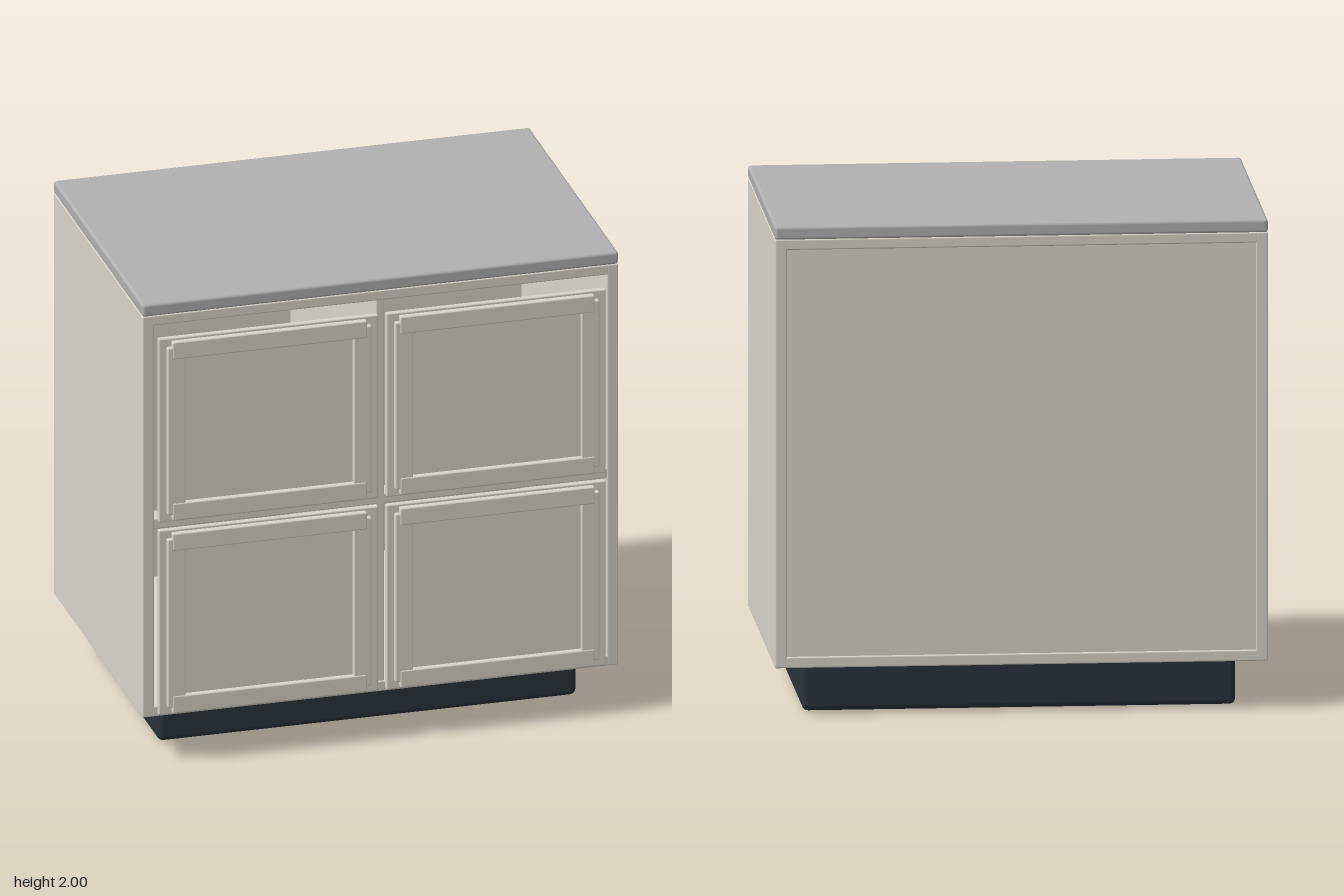
import * as THREE from 'three';
import { RoundedBoxGeometry } from 'three/addons/geometries/RoundedBoxGeometry.js';

const paint = new THREE.MeshStandardMaterial({ color: 0xd8d4ca });
const stone = new THREE.MeshStandardMaterial({ color: 0xb0b0b0 });
const dark = new THREE.MeshStandardMaterial({ color: 0x2a323a });

// Softly rounded box given by its minimum and maximum on each axis
function block(name, [x0, x1], [y0, y1], [z0, z1], material = paint, radius = 0.006) {
  const geometry = new RoundedBoxGeometry(x1 - x0, y1 - y0, z1 - z0, 3, radius);
  const mesh = new THREE.Mesh(geometry, material);
  mesh.name = name;
  mesh.position.set((x0 + x1) / 2, (y0 + y1) / 2, (z0 + z1) / 2);
  return mesh;
}

// Framed front: backing slab, two stiles and two longer-reaching rails with stepped corners
function createFront(name, x0, x1, y0, y1) {
  const front = new THREE.Group();
  front.name = name;
  const l = x0 + 0.032, r = x1 - 0.032, b = y0 + 0.011, t = y1 - 0.011;
  const stile = 0.075, rail = 0.075;
  front.add(block('frontSlab', [x0, x1], [y0, y1], [0.632, 0.657]));
  for (const x of [l, r - stile]) {
    front.add(block('stile', [x, x + stile], [b + 0.025, t - 0.025], [0.645, 0.677]));
  }
  for (const y of [b, t - rail]) {
    front.add(block('rail', [l + 0.02, r - 0.02], [y, y + rail], [0.645, 0.68]));
  }
  return front;
}

export function createModel() {
  const cabinet = new THREE.Group();
  cabinet.name = 'cabinet';

  // Recessed base and worktop
  cabinet.add(block('plinth', [-0.87, 0.87], [0, 0.2], [-0.56, 0.44], dark, 0.025));
  cabinet.add(block('worktop', [-0.99, 0.99], [1.945, 2], [-0.68, 0.63], stone, 0.012));

  // Hollow carcass
  for (const s of [-1, 1]) {
    const xs = s < 0 ? [-0.99, -0.942] : [0.942, 0.99];
    cabinet.add(block(s < 0 ? 'rightSide' : 'leftSide', xs, [0.2, 1.948], [-0.68, 0.63]));
  }
  cabinet.add(block('floor', [-0.95, 0.95], [0.2, 0.245], [-0.68, 0.63]));
  cabinet.add(block('ceiling', [-0.95, 0.95], [1.905, 1.948], [-0.68, 0.63]));
  cabinet.add(block('backPanel', [-0.95, 0.95], [0.235, 1.915], [-0.67, -0.63]));
  cabinet.add(block('divider', [-0.018, 0.018], [0.24, 1.91], [-0.64, 0.625]));
  cabinet.add(block('middleRail', [-0.95, 0.95], [1.015, 1.06], [0.54, 0.625]));

  // Two by two framed fronts
  const rows = [['lower', 0.215, 1.02], ['upper', 1.055, 1.855]];
  for (const [row, y0, y1] of rows) {
    cabinet.add(createFront(row + 'RightFront', -0.93, -0.017, y0, y1));
    cabinet.add(createFront(row + 'LeftFront', 0.017, 0.93, y0, y1));
  }
  return cabinet;
}
